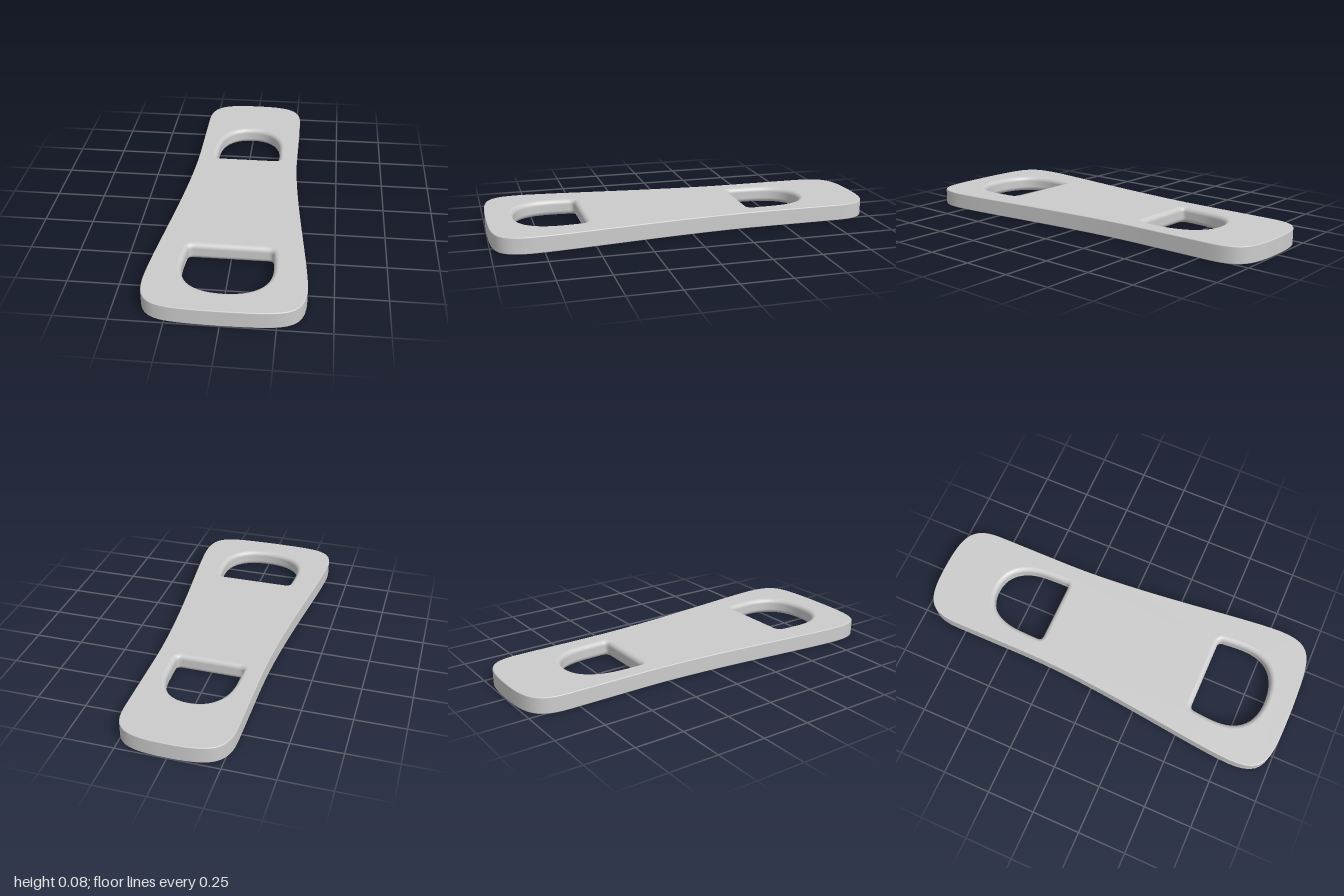
import * as THREE from 'three';
import { mergeGeometries } from 'three/addons/utils/BufferGeometryUtils.js';

const HEIGHT = 0.084;

// Closed symmetric loop: chained cubic curves down the +x half, then mirrored back up.
function symmetricLoop(start, segments, steps = 12) {
  const half = [new THREE.Vector2(...start)];
  for (const [c1, c2, end] of segments) {
    const curve = new THREE.CubicBezierCurve(half[half.length - 1],
      new THREE.Vector2(...c1), new THREE.Vector2(...c2), new THREE.Vector2(...end));
    half.push(...curve.getPoints(steps).slice(1));
  }
  const mirrored = half.slice(1, -1).reverse().map(p => new THREE.Vector2(-p.x, p.y));
  return [...half, ...mirrored];
}

// Side directions pointing away from the material.
function loopNormals(loop, sign) {
  const n = loop.length;
  return loop.map((p, i) => {
    const t = loop[(i + 1) % n].clone().sub(loop[(i + n - 1) % n]).normalize();
    return new THREE.Vector2(-t.y * sign, t.x * sign);
  });
}

// Wall around a loop with rounded upper and lower edges; also returns the loop of the flat faces.
function roundedWall(loop, radius, sign) {
  const normals = loopNormals(loop, sign);
  const n = loop.length, steps = 6, rings = [];
  for (let k = 0; k <= steps; k++) rings.push([(k / steps - 1) * Math.PI / 2, radius]);
  for (let k = 0; k <= steps; k++) rings.push([k / steps * Math.PI / 2, HEIGHT - radius]);

  const position = [], normal = [], index = [];
  rings.forEach(([a, centre], k) => {
    const inset = radius * (1 - Math.cos(a));
    loop.forEach((p, i) => {
      const d = normals[i], j = (i + 1) % n;
      position.push(p.x - d.x * inset, p.y - d.y * inset, centre + radius * Math.sin(a));
      normal.push(d.x * Math.cos(a), d.y * Math.cos(a), Math.sin(a));
      if (k === rings.length - 1) return;
      const q = [k * n + i, k * n + j, (k + 1) * n + j, (k + 1) * n + i];
      if (sign > 0) index.push(q[0], q[3], q[2], q[0], q[2], q[1]);
      else index.push(q[0], q[1], q[2], q[0], q[2], q[3]);
    });
  });
  const geometry = new THREE.BufferGeometry();
  geometry.setAttribute('position', new THREE.Float32BufferAttribute(position, 3));
  geometry.setAttribute('normal', new THREE.Float32BufferAttribute(normal, 3));
  geometry.setIndex(index);
  const face = loop.map((p, i) => p.clone().addScaledVector(normals[i], -radius));
  return { geometry, face };
}

export function createModel() {
  // Flared outline, narrow at the back and wide at the front (drawn with y = -z)
  const outline = symmetricLoop([0, 1], [
    [[0.2, 1], [0.275, 0.97], [0.275, 0.8]],
    [[0.275, 0.67], [0.275, 0.53], [0.275, 0.4]],
    [[0.275, -0.03], [0.375, -0.6], [0.378, -0.8]],
    [[0.378, -1], [0.29, -0.995], [0, -1]],
  ]);
  // Arched opening at the narrow end
  const backOpening = symmetricLoop([0, 0.68], [
    [[0.13, 0.68], [0.173, 0.57], [0.173, 0.45]],
    [[0.174, 0.42], [0.175, 0.39], [0.175, 0.365]],
    [[0.175, 0.348], [0.17, 0.34], [0.145, 0.34]],
    [[0.1, 0.34], [0.05, 0.34], [0, 0.34]],
  ]);
  // Wider opening at the flared end
  const frontOpening = symmetricLoop([0, -0.52], [
    [[0.06, -0.52], [0.12, -0.52], [0.175, -0.52]],
    [[0.2, -0.52], [0.207, -0.53], [0.208, -0.55]],
    [[0.211, -0.58], [0.215, -0.62], [0.215, -0.66]],
    [[0.215, -0.8], [0.13, -0.86], [0, -0.86]],
  ]);

  const rim = roundedWall(outline, 0.005, 1);
  const openings = [backOpening, frontOpening].map(loop => roundedWall(loop, 0.025, -1));

  // Flat upper and lower faces
  const shape = new THREE.Shape(rim.face);
  shape.holes = openings.map(o => new THREE.Path(o.face));
  const top = new THREE.ShapeGeometry(shape);
  top.deleteAttribute('uv');
  const bottom = top.clone();
  top.translate(0, 0, HEIGHT);
  bottom.setIndex([...bottom.index.array].reverse());
  bottom.attributes.normal.array.forEach((v, i, a) => { a[i] = -v; });

  const geometry = mergeGeometries([rim.geometry, ...openings.map(o => o.geometry), top, bottom]);
  geometry.rotateX(-Math.PI / 2);

  const body = new THREE.Mesh(geometry,
    new THREE.MeshStandardMaterial({ color: 0xcccccc }));
  body.name = 'openerPlate';
  const group = new THREE.Group();
  group.name = 'bottleOpener';
  group.add(body);
  return group;
}
